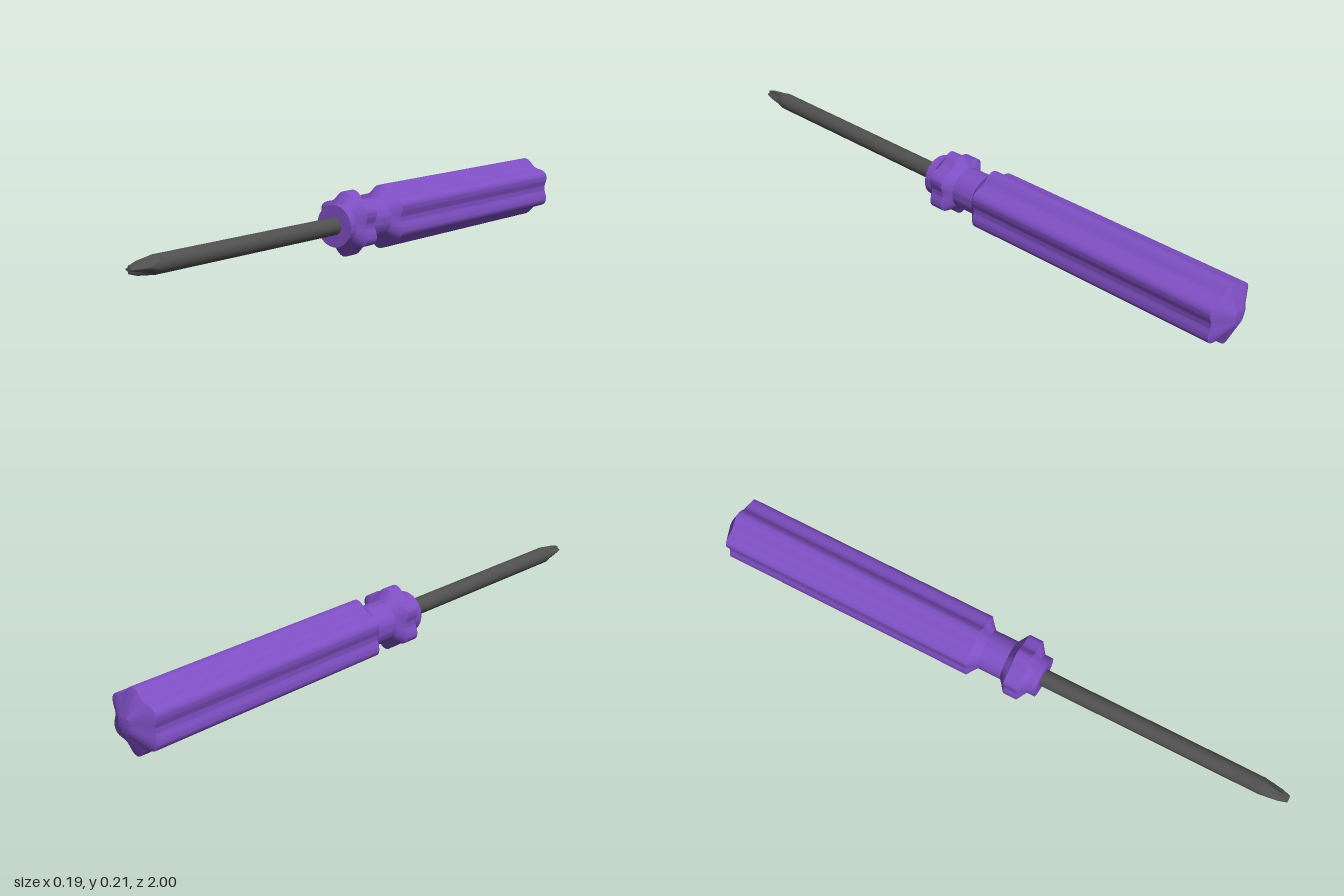
import * as THREE from 'three';
import { toCreasedNormals } from 'three/addons/utils/BufferGeometryUtils.js';

const AXIS_Y = 0.104;

// Skin along z through closed rings, front to back, with flat end caps.
// Each station is [z, ridge radius, groove radius]; wave(angle) is 1 on a ridge, 0 in a groove.
function loft(stations, wave, segments) {
  const pos = [], index = [];
  for (const [z, ridge, groove] of stations) {
    for (let j = 0; j < segments; j++) {
      const t = (j / segments) * Math.PI * 2;
      const r = groove + (ridge - groove) * wave(t);
      pos.push(r * Math.cos(t), r * Math.sin(t), z);
    }
  }
  const last = stations.length - 1;
  const front = pos.length / 3, back = front + 1;
  pos.push(0, 0, stations[0][0], 0, 0, stations[last][0]);
  for (let j = 0; j < segments; j++) {
    const k = (j + 1) % segments;
    for (let i = 0; i < last; i++) {
      const a = i * segments + j, b = i * segments + k;
      const c = a + segments, d = b + segments;
      index.push(a, c, b, b, c, d);
    }
    index.push(front, j, k, back, last * segments + k, last * segments + j);
  }
  const g = new THREE.BufferGeometry();
  g.setAttribute('position', new THREE.Float32BufferAttribute(pos, 3));
  g.setIndex(index);
  return toCreasedNormals(g, 0.5);
}

export function createModel() {
  const group = new THREE.Group();
  const purple = new THREE.MeshStandardMaterial({ color: 0x7f4fc4 });
  const steel = new THREE.MeshStandardMaterial({ color: 0x505050 });

  const add = (name, geometry, material) => {
    const mesh = new THREE.Mesh(geometry, material);
    mesh.name = name;
    mesh.position.y = AXIS_Y;
    group.add(mesh);
  };

  // Six-lobed grip with a round nose and neck either side of a lobed collar
  const R = 0.104, V = 0.085, N = 0.067;
  add('handle', loft([
    [0.152, N, N],
    [0.125, N, N],
    [0.102, R, V],
    [0.055, R, V],
    [0.03, N, N],
    [-0.052, N, N],
    [-0.08, R, V],
    [-0.965, R, V],
    [-1, 0.026, 0.026],
  ], t => 0.5 - 0.5 * Math.cos(6 * t), 96), purple);

  // Round shaft, running a little way into the handle
  const shaft = new THREE.CylinderGeometry(0.028, 0.028, 0.81, 32);
  shaft.rotateX(Math.PI / 2).translate(0, 0, 0.505);
  add('shaft', shaft, steel);

  // Cross-shaped tip: four ridges that taper forward
  add('crossTip', loft([
    [1, 0.012, 0.006],
    [0.97, 0.021, 0.011],
    [0.94, 0.025, 0.019],
    [0.91, 0.028, 0.028],
  ], t => Math.pow(0.5 + 0.5 * Math.cos(4 * t), 1.5), 48), steel);

  return group;
}
